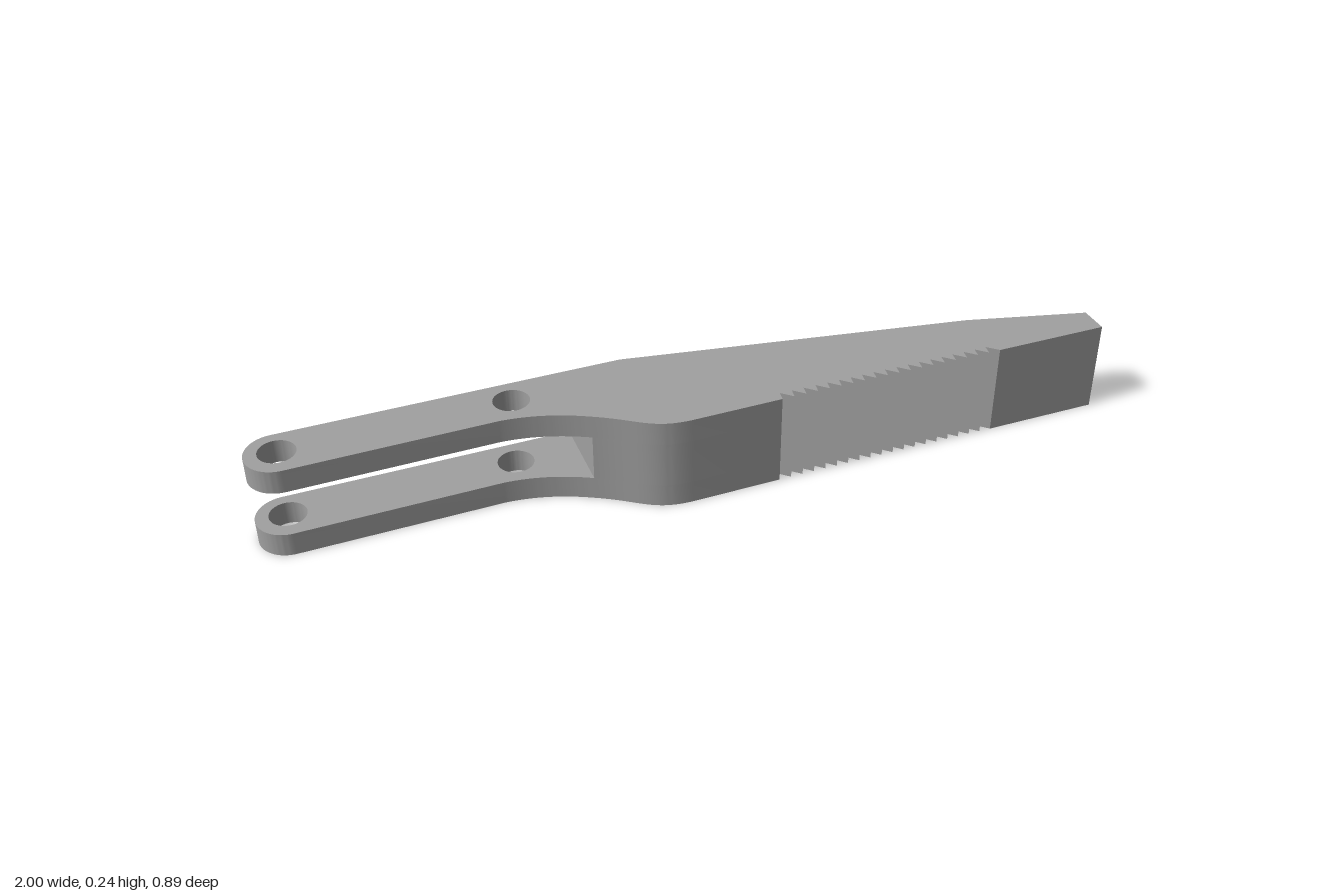
import * as THREE from 'three';
import { toCreasedNormals } from 'three/addons/utils/BufferGeometryUtils.js';

const HEIGHT = 0.24, PRONG = 0.06;

// Starts a plan outline (shape y = -z) and traces the jaw: belly curve, teeth, tip, back
function traceJaw() {
  const s = new THREE.Shape();
  s.moveTo(-0.28, 0.04);
  s.bezierCurveTo(-0.2, -0.04, -0.2, -0.09, -0.1, -0.12);

  // gripping teeth: notches cut into the straight front edge
  const teeth = 19, x0 = 0.12, x1 = 0.69, z0 = 0.184, z1 = 0.358;
  const pitch = (x1 - x0) / teeth, rise = (z1 - z0) / teeth;
  s.lineTo(x0, -z0);
  for (let i = 0; i < teeth; i++) {
    s.lineTo(x0 + pitch * (i + 0.4), -(z0 + rise * (i + 0.4) - 0.027));
    s.lineTo(x0 + pitch * (i + 1), -(z0 + rise * (i + 1)));
  }

  s.lineTo(0.977, -0.445);
  s.lineTo(1, -0.372);
  s.lineTo(0.73, -0.205);
  s.lineTo(-0.08, 0.2);
  s.lineTo(-0.215, 0.24);
  return s;
}

// Adds the arm with its round end and two pin holes
function traceLever() {
  const s = traceJaw();
  const normal = 1.28; // direction of the arm's back face
  s.absarc(-0.925, 0.37, 0.075, normal, normal + Math.PI, false);
  s.lineTo(-0.46, 0.16);
  s.quadraticCurveTo(-0.36, 0.125, -0.28, 0.04);
  for (const [x, y] of [[-0.922, 0.373], [-0.39, 0.215]]) {
    const hole = new THREE.Path();
    hole.absarc(x, y, 0.045, 0, Math.PI * 2, true);
    s.holes.push(hole);
  }
  return s;
}

// Stands a plan outline up as a slab between two heights
function slab(name, shape, bottom, top, material) {
  const g = new THREE.ExtrudeGeometry(shape, { depth: top - bottom, bevelEnabled: false, curveSegments: 24 });
  g.rotateX(-Math.PI / 2);
  g.translate(0, bottom, 0);
  const mesh = new THREE.Mesh(toCreasedNormals(g, 0.15), material);
  mesh.name = name;
  return mesh;
}

export function createModel() {
  const metal = new THREE.MeshStandardMaterial({ color: 0xa0a0a0 });
  metal.name = 'grey metal';

  const model = new THREE.Group();
  model.name = 'forkedJaw';
  const lever = traceLever();
  model.add(
    slab('lowerProngPlate', lever, 0, PRONG, metal),
    slab('jawCore', traceJaw(), PRONG, HEIGHT - PRONG, metal),
    slab('upperProngPlate', lever, HEIGHT - PRONG, HEIGHT, metal),
  );
  return model;
}
